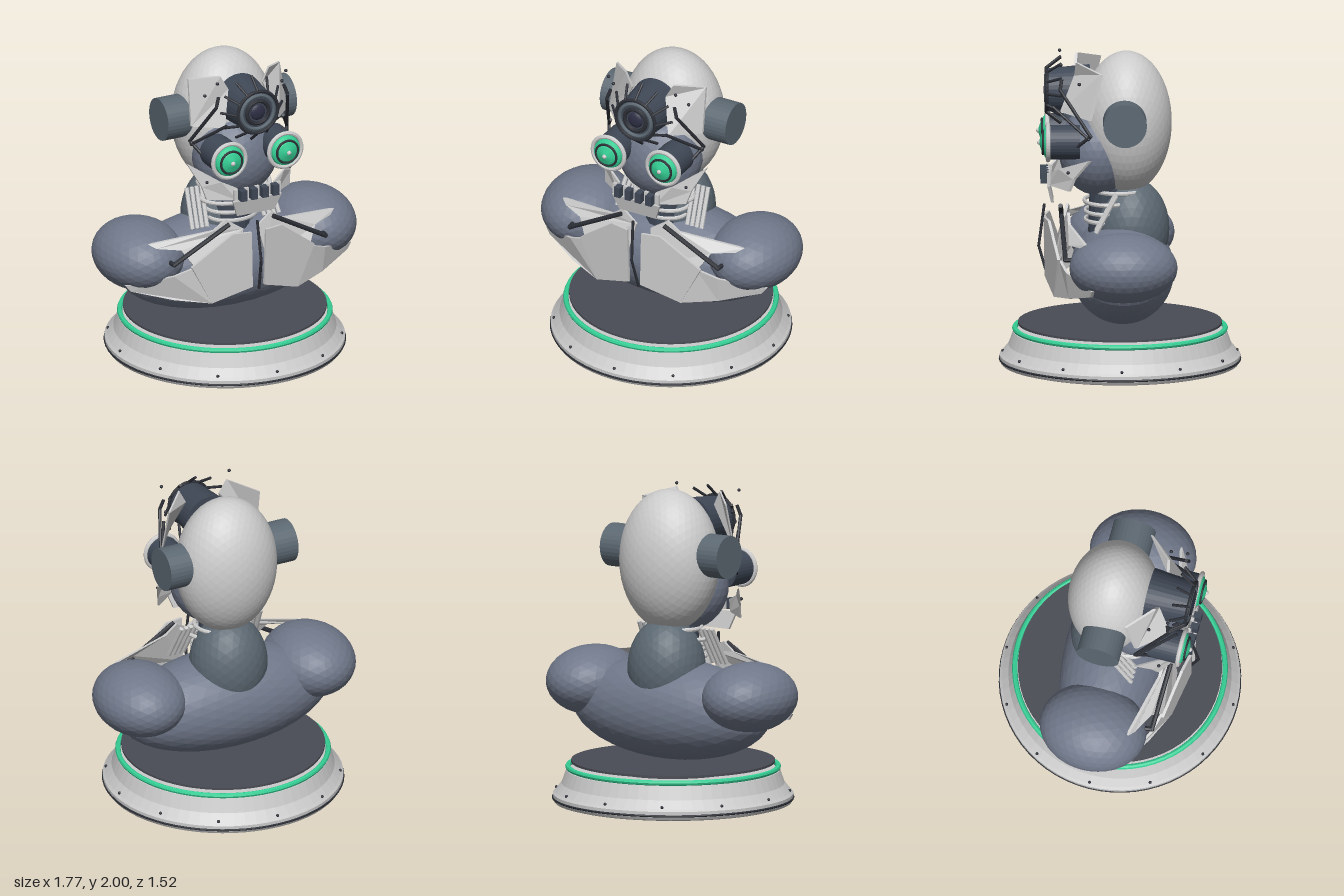
import * as THREE from 'three';

const mat = (color, extra = {}) => new THREE.MeshStandardMaterial({ color, flatShading: true, ...extra });
const light = mat(0xcccccc), body = mat(0x70788a), ear = mat(0x5c6872), dark = mat(0x3f4856);
const black = mat(0x2c2f36), green = mat(0x35cf95), deck = mat(0x4a4c55), pupil = mat(0x2e2f45);
const V = (p) => new THREE.Vector3(...p);

export function createModel() {
  const root = new THREE.Group();

  const add = (name, geo, material, pos = [0, 0, 0], parent = root) => {
    const m = new THREE.Mesh(geo, material);
    m.name = name;
    m.position.set(...pos);
    parent.add(m);
    return m;
  };
  const egg = (name, pos, radii, material, detail = 6) =>
    add(name, new THREE.IcosahedronGeometry(1, detail).scale(...radii), material, pos);
  // round bars through a list of points
  const rod = (name, pts, r, material) => {
    const path = new THREE.CurvePath();
    for (let i = 1; i < pts.length; i++) {
      const a = V(pts[i - 1]), b = V(pts[i]);
      const g = new THREE.CylinderGeometry(r, r, a.distanceTo(b) + r, 8);
      const m = add(name, g, material);
      m.position.copy(a).lerp(b, 0.5);
      m.quaternion.setFromUnitVectors(new THREE.Vector3(0, 1, 0), b.sub(a).normalize());
    }
    return path;
  };
  // thin armour plate: outline in 3D, thickened backwards along z
  const plate = (name, outline, side = 1, t = 0.018, material = light) => {
    let pts = outline.map(([x, y, z]) => [x * side, y, z]);
    const flat = (list) => list.map((p) => new THREE.Vector2(p[0], p[1]));
    if (THREE.ShapeUtils.isClockWise(flat(pts))) pts = pts.reverse();
    const n = pts.length, pos = [], idx = [];
    for (const d of [0, -t]) for (const [x, y, z] of pts) pos.push(x, y, z + d);
    for (let [a, b, c] of THREE.ShapeUtils.triangulateShape(flat(pts), [])) {
      const [A, B, C] = [pts[a], pts[b], pts[c]];
      if ((B[0] - A[0]) * (C[1] - A[1]) - (B[1] - A[1]) * (C[0] - A[0]) < 0) [b, c] = [c, b];
      idx.push(a, b, c, a + n, c + n, b + n);
    }
    for (let i = 0; i < n; i++) {
      const j = (i + 1) % n;
      idx.push(i, i + n, j, j, i + n, j + n);
    }
    const g = new THREE.BufferGeometry();
    g.setAttribute('position', new THREE.Float32BufferAttribute(pos, 3));
    g.setIndex(idx);
    g.computeVertexNormals();
    return add(name, g, material);
  };
  const lathe = (pts, seg) => new THREE.LatheGeometry(pts.map((p) => new THREE.Vector2(...p)), seg);
  const ring = (r, tube, seg = 40) => new THREE.TorusGeometry(r, tube, 8, seg);

  // round plinth
  add('plinth', lathe([[0, 0], [0.7, 0], [0.745, 0.012], [0.755, 0.03], [0.755, 0.065], [0.74, 0.08],
    [0.7, 0.13], [0.67, 0.215], [0.64, 0.22], [0, 0.22]], 64), light);
  add('plinthSeam', ring(0.753, 0.008, 64).rotateX(Math.PI / 2), black, [0, 0.038, 0]);
  add('plinthGlowRing', ring(0.66, 0.017, 64).rotateX(Math.PI / 2), green, [0, 0.233, 0]);
  add('deckSupport', new THREE.CylinderGeometry(0.42, 0.42, 0.05, 48), deck, [0, 0.24, 0]);
  add('deck', new THREE.CylinderGeometry(0.64, 0.64, 0.014, 64), deck, [0, 0.27, 0]);
  for (let i = 0; i < 12; i++) {
    const a = (i * Math.PI) / 6;
    add('plinthBolt', new THREE.IcosahedronGeometry(0.01, 1), black, [0.735 * Math.sin(a), 0.09, 0.735 * Math.cos(a)]);
  }

  // body masses
  egg('torso', [0, 0.605, -0.015], [0.73, 0.32, 0.325], body);
  egg('neck', [0, 0.87, -0.07], [0.25, 0.32, 0.24], ear, 5);
  egg('skull', [0, 1.55, -0.04], [0.33, 0.45, 0.285], light, 8);
  egg('face', [0, 1.37, 0.14], [0.28, 0.285, 0.245], body, 5);

  // throat core and rings
  add('throat', new THREE.CylinderGeometry(0.12, 0.13, 0.3, 16), dark, [0, 1.0, 0.07]);
  for (const [y, rx, rz, z] of [[1.12, 0.18, 0.16, 0.01], [1.05, 0.2, 0.15, 0.075], [0.985, 0.17, 0.13, 0.09], [0.93, 0.16, 0.12, 0.1]])
    add('throatRing', ring(1, 0.07).scale(rx, rz, 0.2).rotateX(Math.PI / 2), light, [0, y, z]);

  // mouth guard
  plate('mouthGuard', [[-0.17, 1.17, 0.46], [0.17, 1.17, 0.46], [0.13, 1.06, 0.435], [-0.13, 1.06, 0.435]]);
  for (let i = 0; i < 4; i++)
    add('mouthVent', new THREE.BoxGeometry(0.042, 0.07, 0.05), dark, [-0.112 + i * 0.0747, 1.215, 0.475]);
  for (const x of [-0.15, -0.075, 0, 0.075, 0.15])
    add('mouthBar', new THREE.BoxGeometry(0.028, 0.07, 0.02), light, [x, 1.215, 0.45]);

  // spine of the breastplate
  rod('breastSpine', [[-0.01, 1.02, 0.475], [0, 0.76, 0.51], [0.015, 0.55, 0.45]], 0.009, black);

  for (const s of [1, -1]) {
    egg('shoulder', [0.6 * s, 0.73, -0.012], [0.283, 0.22, 0.34], body, 5);
    add('earPod', new THREE.CylinderGeometry(0.137, 0.137, 0.17, 32).rotateZ(Math.PI / 2), ear, [0.365 * s, 1.605, -0.025]);

    // layered chest armour
    plate('breastPlate', [[0.05, 0.95, 0.48], [0.17, 0.95, 0.456], [0.43, 0.75, 0.4], [0.3, 0.49, 0.42], [0.04, 0.575, 0.474]], s);
    plate('collarPlate', [[0.05, 0.93, 0.36], [0.16, 1.0, 0.335], [0.24, 0.94, 0.33], [0.65, 0.885, 0.23],
      [0.61, 0.86, 0.26], [0.47, 0.85, 0.33], [0.4, 0.74, 0.39], [0.3, 0.5, 0.41], [0.1, 0.7, 0.4]], s);
    plate('flankPlate', [[0.3, 0.49, 0.42], [0.4, 0.74, 0.39], [0.53, 0.69, 0.35], [0.79, 0.615, 0.19], [0.76, 0.575, 0.2], [0.52, 0.52, 0.33]], s);
    rod('collarStrut', [[0.16, 0.98, 0.37], [0.53, 0.77, 0.35], [0.54, 0.77, 0.28]], 0.015, black);
    if (s < 0) root.children.slice(-2).forEach((m) => { m.position.x *= -1; m.quaternion.y *= -1; m.quaternion.z *= -1; });

    // neck slats
    for (let i = 0; i < 4; i++)
      rod('neckSlat', [[(0.18 + i * 0.034) * s, 1.12, 0.03], [(0.2 + i * 0.034) * s, 0.9, 0.15]], 0.014, light);

    // cheek and brow armour
    plate('cheekPlate', [[0.365, 1.37, 0.2], [0.22, 1.29, 0.39], [0.13, 1.25, 0.44], [0.13, 1.17, 0.45], [0.29, 1.16, 0.33], [0.31, 1.24, 0.3]], s);
    plate('browPlate', [[0.32, 1.91, 0.13], [0.17, 1.96, 0.28], [0.12, 1.87, 0.29], [0.19, 1.65, 0.38], [0.335, 1.62, 0.2]], s);
    for (const p of [[0.24, 1.96, 0.375], [0.27, 1.84, 0.26], [0.29, 1.28, 0.33]])
      add('armourBolt', new THREE.IcosahedronGeometry(0.011, 1), black, [p[0] * s, p[1], p[2]]);
    rod('templeStrut', [[0.23, 1.86, 0.37], [0.25, 1.8, 0.38], [0.34, 1.52, 0.19], [0.29, 1.44, 0.28]].map(([x, y, z]) => [x * s, y, z]), 0.011, black);
    rod('browStrut', [[0.2, 1.68, 0.42], [0.335, 1.5, 0.2]].map(([x, y, z]) => [x * s, y, z]), 0.01, black);

    // goggle eyes, built along +z
    const eye = new THREE.Group();
    eye.name = 'eye';
    eye.position.set(0.196 * s, 1.457, 0);
    root.add(eye);
    add('eyeBarrel', new THREE.CylinderGeometry(0.108, 0.108, 0.2, 32).rotateX(Math.PI / 2), dark, [0, 0, 0.355], eye);
    add('eyeRim', ring(0.113, 0.014), light, [0, 0, 0.455], eye);
    add('eyeLens', lathe([[0.1, 0], [0.095, 0.015], [0.06, 0.036], [0.02, 0.05], [0, 0.052]], 32).rotateX(Math.PI / 2), green, [0, 0, 0.457], eye);
    add('eyeLensRing', ring(0.073, 0.008), black, [0, 0, 0.486], eye);
    add('eyeStud', new THREE.IcosahedronGeometry(0.015, 2), light, [0, 0, 0.508], eye);
  }

  // forehead lens with a crown of swept-back spikes
  const lens = new THREE.Group();
  lens.name = 'foreheadLens';
  lens.position.set(0, 1.755, 0);
  root.add(lens);
  add('lensBarrel', new THREE.CylinderGeometry(0.135, 0.16, 0.27, 32).rotateX(Math.PI / 2), dark, [0, 0, 0.325], lens);
  add('lensRim', ring(0.14, 0.011), black, [0, 0, 0.462], lens);
  add('lensMiddleRing', ring(0.112, 0.012), ear, [0, 0, 0.462], lens);
  add('lensInnerRing', ring(0.075, 0.014), black, [0, 0, 0.462], lens);
  add('lensPupil', new THREE.SphereGeometry(0.052, 20, 12).scale(1, 1, 0.4), pupil, [0, 0, 0.46], lens);
  for (let i = 0; i < 12; i++) {
    const a = (i * Math.PI) / 6, c = Math.cos(a), d = Math.sin(a);
    rod('lensSpike', [[0.145 * d, 1.755 + 0.145 * c, 0.46], [0.212 * d, 1.755 + 0.212 * c, 0.375]], 0.009, black);
  }
  return root;
}
